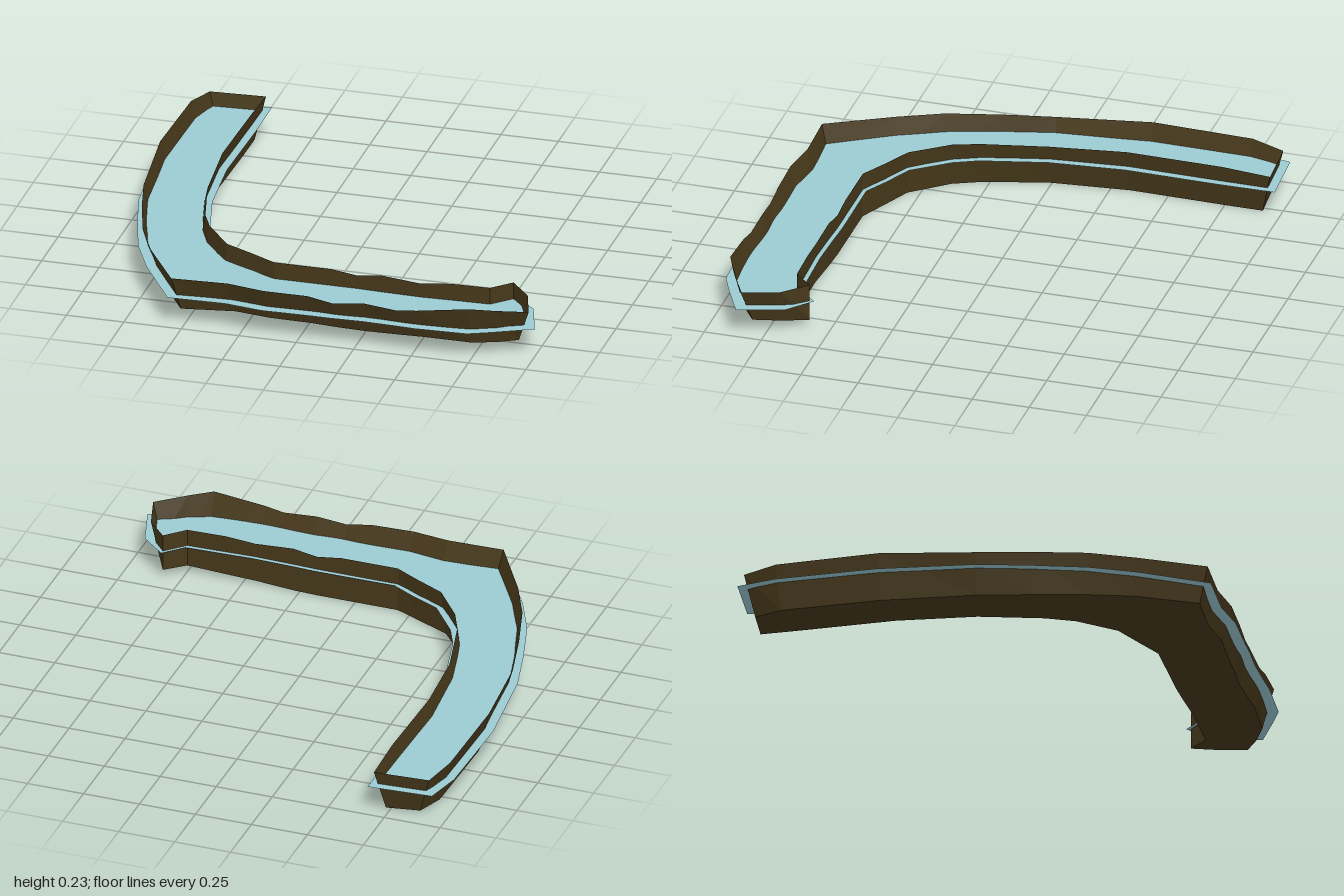
import * as THREE from 'three';

// Stations along the channel, from the back end round the bend to the right end:
// outer rim x, z, height | outer foot height | inner rim x, z
const STATIONS = [
  [-0.93, -0.945, 0.185, 0.01, -0.69, -0.96],
  [-0.97, -0.8, 0.2, 0.01, -0.69, -0.75],
  [-0.98, -0.36, 0.205, 0.01, -0.7, -0.33],
  [-0.935, 0.05, 0.19, 0.015, -0.67, 0],
  [-0.88, 0.27, 0.195, 0.02, -0.6, 0.28],
  [-0.81, 0.5, 0.2, 0.03, -0.55, 0.39],
  [-0.72, 0.69, 0.2, 0.045, -0.43, 0.545],
  [-0.555, 0.96, 0.208, 0.055, -0.3, 0.61],
  [-0.31, 0.95, 0.21, 0.065, -0.19, 0.67],
  [-0.15, 0.975, 0.207, 0.065, -0.05, 0.67],
  [0.04, 0.97, 0.205, 0.06, 0.06, 0.67],
  [0.15, 0.97, 0.185, 0.055, 0.17, 0.67],
  [0.28, 0.965, 0.2, 0.05, 0.28, 0.675],
  [0.43, 0.97, 0.187, 0.055, 0.45, 0.68],
  [0.52, 0.975, 0.2, 0.06, 0.58, 0.675],
  [0.74, 0.965, 0.23, 0.055, 0.75, 0.67],
  [0.84, 0.92, 0.215, 0.05, 0.83, 0.59],
  [0.97, 0.85, 0.195, 0.045, 0.92, 0.69],
];
const LAST = STATIONS.length - 1;
const WATER_LEVEL = 0.125;

// Cross-section of one station: bank from outer rim to inner rim, and the two water edges
function section([ox, oz, rimY, footY, ix, iz], i) {
  const outer = new THREE.Vector3(ox, rimY, oz);
  const inner = new THREE.Vector3(ix, Math.min(rimY, 0.2), iz);
  const across = new THREE.Vector3(ix - ox, 0, iz - oz).normalize();
  // Points into the channel at the two ends, zero in between
  const inward = new THREE.Vector3(-across.z, 0, across.x)
    .multiplyScalar(i === 0 ? 1 : i === LAST ? -1 : 0);
  const shifted = (p, side, lengthwise, y) =>
    p.clone().addScaledVector(across, side).addScaledVector(inward, lengthwise).setY(y);

  // The inner wall steepens after the bend, and the bed rises to the right end
  const innerInset = Math.max(0, -0.08 * (ix + 0.19));
  const bedY = Math.max(0, 0.065 * (ix - 0.3));
  return {
    bank: [
      outer,
      shifted(outer, 0.05, 0.04, footY),
      shifted(inner, -innerInset, 0.04, bedY),
      inner,
    ],
    water: [shifted(outer, -0.02, -0.025, WATER_LEVEL), shifted(inner, 0.02, -0.025, WATER_LEVEL)],
  };
}

// Strip of quads joining neighbouring cross-sections, with optional end caps
function loft(rings, capped) {
  const n = rings[0].length;
  const index = [];
  const quad = (a, b, c, d) => index.push(a, b, c, a, c, d);
  for (let i = 0; i < LAST; i++) {
    for (let j = 0; j < n - 1; j++) {
      const a = i * n + j;
      quad(a, a + n, a + n + 1, a + 1);
    }
  }
  if (capped) {
    const e = LAST * n;
    quad(0, 1, 2, 3);
    quad(e + 3, e + 2, e + 1, e);
  }
  const geometry = new THREE.BufferGeometry().setFromPoints(rings.flat());
  geometry.setIndex(index);
  geometry.computeVertexNormals();
  return geometry;
}

function part(name, geometry, color) {
  const material = new THREE.MeshStandardMaterial({ color, flatShading: true, side: THREE.DoubleSide });
  const mesh = new THREE.Mesh(geometry, material);
  mesh.name = name;
  return mesh;
}

export function createModel() {
  const group = new THREE.Group();
  group.name = 'riverBend';
  const sections = STATIONS.map(section);
  // Open-topped bed, and a flat water sheet reaching slightly past its banks
  group.add(part('riverBed', loft(sections.map((s) => s.bank), true), 0x46381a));
  group.add(part('water', loft(sections.map((s) => s.water), false), 0x9ccbd3));
  return group;
}
